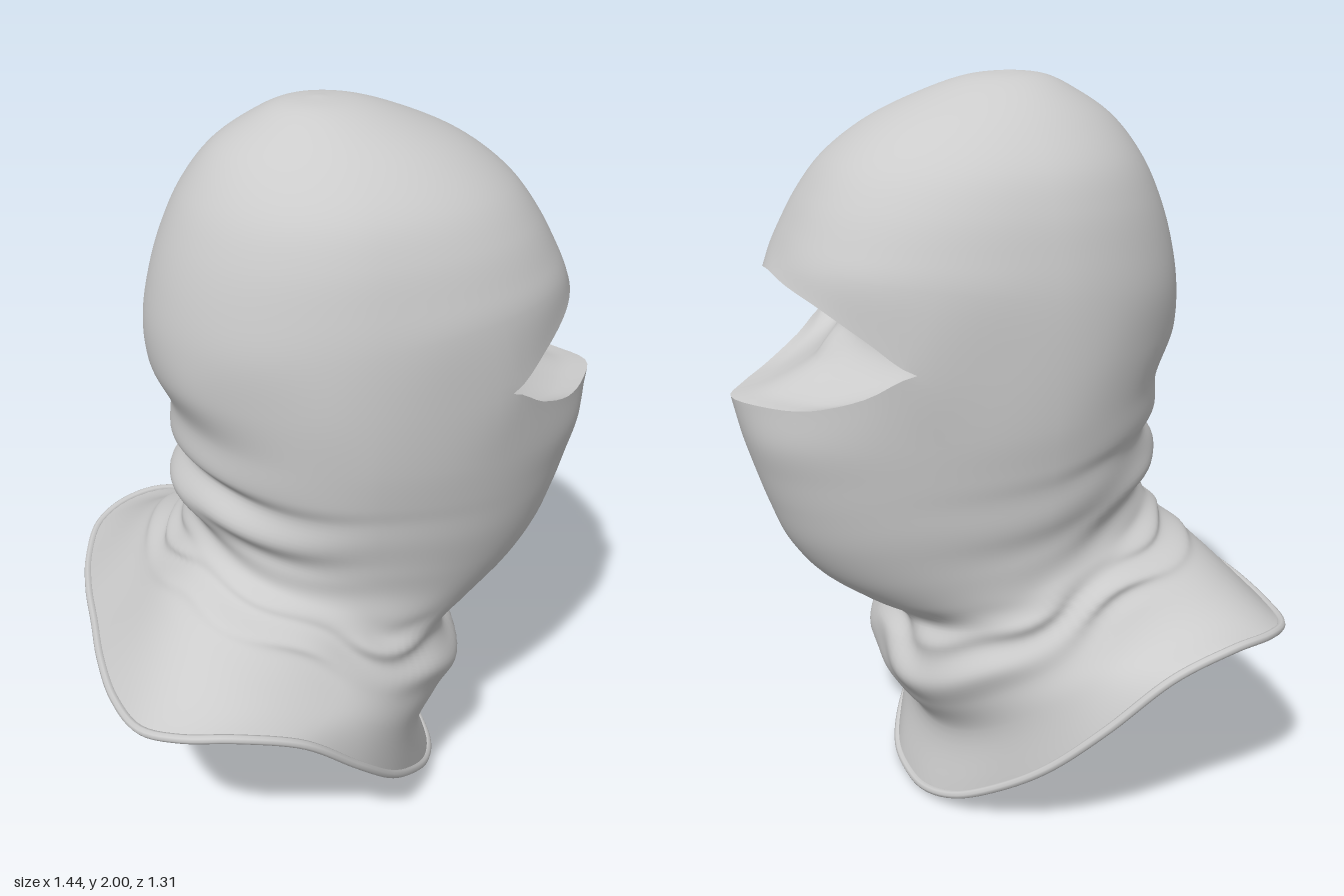
import * as THREE from 'three';
import { mergeGeometries, mergeVertices } from 'three/addons/utils/BufferGeometryUtils.js';

const COLS = 96, CORNER = 16, STEPS = 7;
const SHIFT = 0.012; // the head sits slightly to one side over the collar
const V = (x, y, z) => new THREE.Vector3(x, y, z);

// Closed curve from the points of one half, mirrored across z
function mirroredLoop(half, shift) {
  const pts = half.map(([x, y, z]) => V(x, y, z + shift));
  for (let i = half.length - 2; i > 0; i--) pts.push(V(half[i][0], half[i][1], shift - half[i][2]));
  return new THREE.CatmullRomCurve3(pts, true);
}
const sampler = curve => j => curve.getPoint((((j % COLS) + COLS) % COLS) / COLS);

// Tilted superellipse ring: front point, back point, half width,
// roundness in front, centre, roundness behind, side lift
function ring([xf, yf, xb, yb, w, p = 2, xm = 0, pb = 1.95, lift = 0]) {
  return j => {
    const a = j / COLS * Math.PI * 2, c = Math.cos(a), s = Math.sin(a);
    const q = c > 0 ? p : pb;
    const r = 1 / Math.pow(Math.abs(c) ** q + Math.abs(s) ** q, 1 / q);
    const x = xm + (c > 0 ? xf - xm : xm - xb) * c * r;
    const k = (x - xb) / (xf - xb);
    return V(x, yb + (yf - yb) * k + lift * s * s, w * s * r + SHIFT);
  };
}

// Grid surface from rows (top to bottom) and columns
function grid(point, rows, cols) {
  const pos = [], idx = [];
  for (let i = 0; i <= rows; i++) for (let j = 0; j <= cols; j++) pos.push(...point(i, j).toArray());
  for (let i = 0; i < rows; i++) for (let j = 0; j < cols; j++) {
    const a = i * (cols + 1) + j, b = a + cols + 1;
    idx.push(a, a + 1, b, a + 1, b + 1, b);
  }
  const g = new THREE.BufferGeometry();
  g.setAttribute('position', new THREE.Float32BufferAttribute(pos, 3));
  g.setIndex(idx);
  return g;
}

const bell = (v, mid, width) => Math.exp(-(((v - mid) / width) ** 2));

export function createModel() {
  const group = new THREE.Group();
  const material = new THREE.MeshStandardMaterial({ color: 0xcccccc, side: THREE.DoubleSide });
  const add = (name, geometry) => {
    const mesh = new THREE.Mesh(geometry, material);
    mesh.name = name;
    group.add(mesh);
  };

  // Edges of the eye opening; they meet at the corners and run on behind as one line
  const side = [[0.345, 1.335, 0.4], [0.17, 1.33, 0.443], [0, 1.33, 0.46], [-0.13, 1.33, 0.443],
    [-0.25, 1.33, 0.39], [-0.36, 1.33, 0.31], [-0.44, 1.33, 0.22], [-0.485, 1.33, 0.115], [-0.502, 1.33, 0]];
  const brow = sampler(mirroredLoop([[0.6, 1.53, 0], [0.588, 1.515, 0.125], [0.54, 1.482, 0.24], [0.45, 1.412, 0.335], ...side], SHIFT));
  const cheek = sampler(mirroredLoop([[0.715, 1.21, 0], [0.66, 1.21, 0.115], [0.57, 1.222, 0.23], [0.455, 1.268, 0.33], ...side], SHIFT));
  const isFront = j => j < CORNER || j > COLS - CORNER;
  const lower = j => (isFront(j) ? cheek(j) : brow(j));

  // Flared hem over chest, shoulders and back
  const hemCurve = mirroredLoop([[0.265, 0.012, 0], [0.255, 0.02, 0.12], [0.21, 0.055, 0.24], [0.125, 0.135, 0.365],
    [0.03, 0.24, 0.48], [-0.09, 0.38, 0.575], [-0.25, 0.53, 0.635], [-0.42, 0.585, 0.64],
    [-0.55, 0.58, 0.6], [-0.64, 0.56, 0.52], [-0.69, 0.545, 0.36], [-0.708, 0.545, 0.18], [-0.708, 0.545, 0]], 0);

  const hoodRows = [
    () => V(-0.05, 2, SHIFT),
    ...[[0.06, 1.988, -0.15, 1.988, 0.095, 2, -0.05],
      [0.18, 1.95, -0.23, 1.95, 0.185, 2, -0.03],
      [0.33, 1.88, -0.325, 1.885, 0.285, 2.1],
      [0.44, 1.795, -0.4, 1.79, 0.37, 2.2],
      [0.505, 1.71, -0.45, 1.69, 0.413, 2.3],
      [0.55, 1.63, -0.49, 1.57, 0.438, 2.35],
      [0.582, 1.565, -0.512, 1.44, 0.454, 2.35]].map(ring),
    brow,
  ];
  const maskRows = [
    lower,
    ...[[0.69, 1.1, -0.455, 1.22, 0.453, 1.8],
      [0.66, 1, -0.455, 1.12, 0.439, 1.82],
      [0.63, 0.91, -0.42, 1.07, 0.427, 1.85],
      [0.585, 0.8, -0.475, 0.99, 0.413, 1.85],
      [0.51, 0.7, -0.425, 0.92, 0.395, 1.9],
      [0.4, 0.62, -0.435, 0.86, 0.398, 2, -0.02],
      [0.285, 0.55, -0.455, 0.82, 0.415, 2.2, -0.05, 2.2, 0.02],
      [0.31, 0.48, -0.48, 0.785, 0.435, 2.2, -0.08, 2.4, 0.03],
      [0.33, 0.38, -0.52, 0.745, 0.455, 2.2, -0.1, 2.7, 0.06],
      [0.28, 0.29, -0.55, 0.71, 0.485, 2.1, -0.12, 2.8, 0.09],
      [0.22, 0.2, -0.6, 0.655, 0.54, 2.05, -0.16, 2.8, 0.13]].map(ring),
    sampler(hemCurve),
  ];

  // One spline per column; behind the eye opening it runs unbroken from crown to hem
  const nHood = hoodRows.length - 1, nMask = maskRows.length - 1, nAll = nHood + nMask;
  const columns = [];
  for (let j = 0; j < COLS; j++) {
    const h = hoodRows.map(f => f(j)), m = maskRows.map(f => f(j));
    const spline = pts => new THREE.CatmullRomCurve3(pts);
    if (isFront(j)) {
      const a = spline(h), b = spline(m);
      columns.push({ hood: v => a.getPoint(v / nHood), mask: v => b.getPoint(v / nMask) });
    } else {
      const a = spline([...h, ...m.slice(1)]);
      columns.push({ hood: v => a.getPoint(v / nAll), mask: v => a.getPoint((v + nHood) / nAll) });
    }
  }

  // Gathered cloth: folds round the nape and a crumpled collar
  function folded(v, j) {
    const p = columns[j].mask(v), a = j / COLS * Math.PI * 2;
    const nape = bell(v, 4.5, 1.8) * (0.5 - 0.5 * Math.cos(a)) ** 1.5;
    const collar = bell(v, 8, 1.4);
    const d = 0.007 * nape * Math.sin(v * 4.2 + 1.4 * Math.sin(2 * a + 0.5) + 0.8 * Math.sin(5 * a))
      + 0.011 * collar * Math.sin(v * 3 + 2 * Math.sin(3 * a + 1) + 1.2 * Math.cos(7 * a));
    const fade = Math.min(1, v) * Math.min(1, nMask - v);
    return p.add(V(Math.cos(a), 0, Math.sin(a)).multiplyScalar(d * fade));
  }

  const hood = grid((i, j) => columns[j % COLS].hood(i / STEPS), nHood * STEPS, COLS);
  const mask = grid((i, j) => folded(i / STEPS, j % COLS), nMask * STEPS, COLS);
  const cloth = mergeVertices(mergeGeometries([hood, mask]), 1e-4);
  cloth.computeVertexNormals();
  add('hoodMaskAndCollar', cloth);
  add('hemEdge', new THREE.TubeGeometry(hemCurve, 160, 0.012, 8, true));

  // Recessed lining of the eye opening: brow underside, back wall, sloping floor and nose bump
  const PANEL = 30;
  const profile = new THREE.CatmullRomCurve3([V(0.6, 1.53, 0), V(0.5, 1.465, 0), V(0.415, 1.41, 0),
    V(0.42, 1.355, 0), V(0.49, 1.285, 0), V(0.62, 1.225, 0), V(0.715, 1.21, 0)]);
  const lining = grid((i, k) => {
    const j = k - CORNER, t = i / PANEL, f = 1 - Math.abs(j / CORNER) ** 3;
    const recess = profile.getPoint(t).sub(brow(0).lerp(cheek(0), t)).setZ(0);
    const p = brow(j).lerp(cheek(j), t).addScaledVector(recess, f);
    p.x += 0.025 * bell(p.z, SHIFT, 0.06) * bell(t, 0.55, 0.1);
    return p;
  }, PANEL, CORNER * 2);
  lining.computeVertexNormals();
  add('eyeOpeningLining', lining);

  return group;
}
